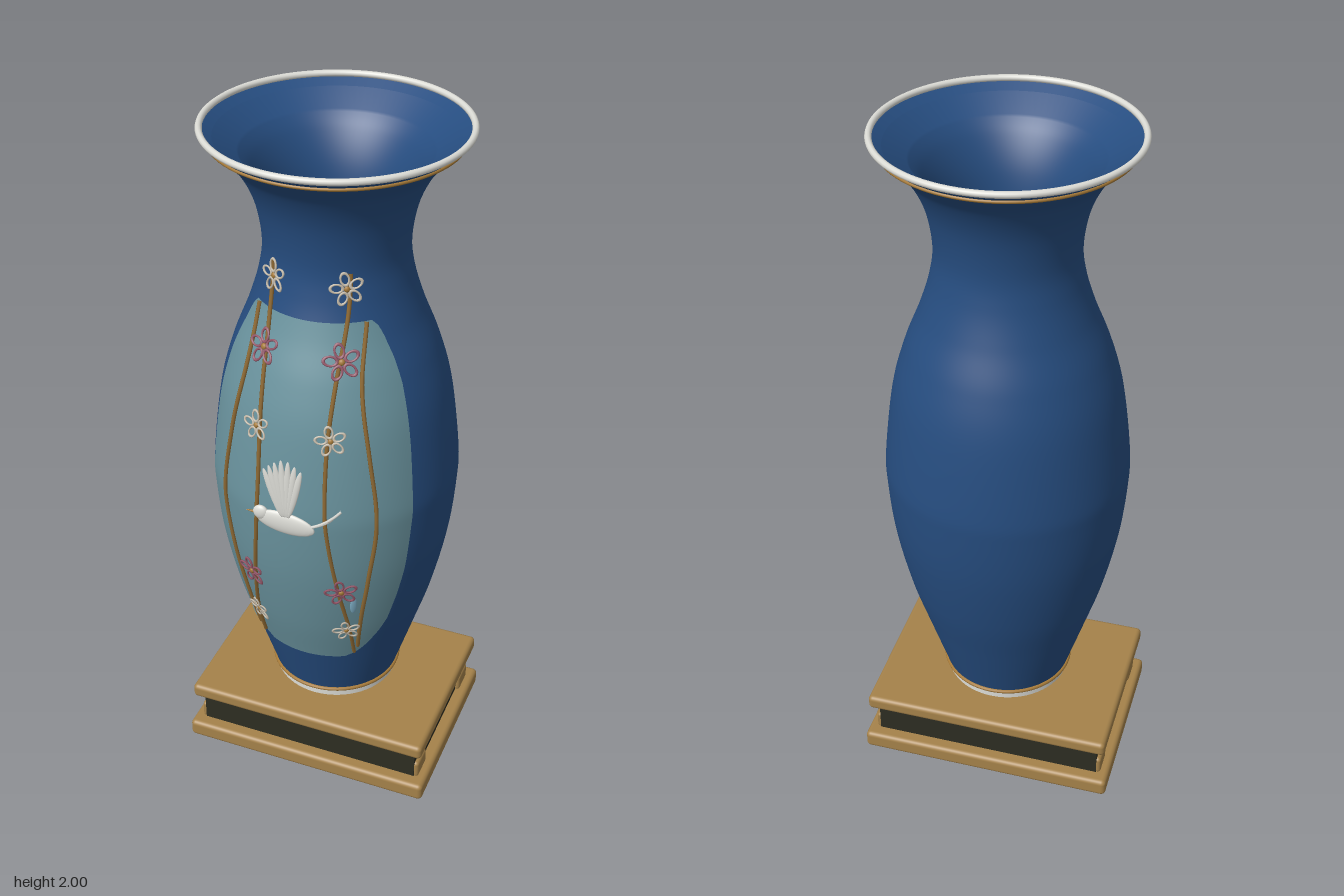
import * as THREE from 'three';
import { RoundedBoxGeometry } from 'three/addons/geometries/RoundedBoxGeometry.js';

const mat = (name, color, side = THREE.FrontSide) => {
  const m = new THREE.MeshStandardMaterial({ color, side });
  m.name = name;
  return m;
};

// Outer wall of the vase: radius, height
const PROFILE = new THREE.SplineCurve([
  [0.187, 0.258], [0.243, 0.44], [0.29, 0.6], [0.328, 0.785], [0.344, 0.95], [0.343, 1.05],
  [0.317, 1.25], [0.28, 1.385], [0.235, 1.5], [0.205, 1.6], [0.195, 1.69], [0.213, 1.8],
  [0.255, 1.89], [0.31, 1.95], [0.343, 1.985],
].map(([r, y]) => new THREE.Vector2(r, y))).getPoints(140);

// Linear lookup in a list of points ordered by y
function lookup(points, y) {
  let i = 1;
  while (i < points.length - 1 && points[i].y < y) i++;
  const a = points[i - 1], b = points[i];
  const t = THREE.MathUtils.clamp((y - a.y) / (b.y - a.y), 0, 1);
  return a.x + (b.x - a.x) * t;
}
const radiusAt = (y) => lookup(PROFILE, y);

// Point on the front of the vase, lifted off the wall
function onVase(x, y, lift = 0) {
  const r = radiusAt(y) + lift;
  return new THREE.Vector3(x, y, Math.sqrt(Math.max(0, r * r - x * x)));
}
function normalAt(x, y) {
  const p = onVase(x, y);
  const slope = (radiusAt(y + 0.02) - radiusAt(y - 0.02)) / 0.04;
  return new THREE.Vector3(p.x, -slope * radiusAt(y), p.z).normalize();
}

export function createModel() {
  const blue = mat('cobaltGlaze', 0x264d80);
  const teal = mat('panelTeal', 0x6a939e);
  const white = mat('porcelainWhite', 0xdcdcd6);
  const gold = mat('gilding', 0xa67a38);
  const wood = mat('standWood', 0xa5824a);
  const dark = mat('standDark', 0x2d2d22);
  const bark = mat('branchBrown', 0x8f6a34);
  const rose = mat('blossomRose', 0x96586a);
  const cream = mat('blossomCream', 0xc9bfae);
  const leafBlue = mat('leafBlue', 0x7fb0c8);

  const model = new THREE.Group();
  model.name = 'vaseOnStand';
  const add = (parent, name, geo, material, x = 0, y = 0, z = 0) => {
    const m = new THREE.Mesh(geo, material);
    m.name = name;
    m.position.set(x, y, z);
    parent.add(m);
    return m;
  };

  // Stand: two slabs, a recessed core and four corner blocks
  const stand = new THREE.Group();
  stand.name = 'stand';
  add(stand, 'lowerSlab', new RoundedBoxGeometry(0.766, 0.056, 0.564, 3, 0.014), wood, 0, 0.028, 0);
  add(stand, 'core', new THREE.BoxGeometry(0.69, 0.12, 0.485), dark, 0, 0.108, 0);
  add(stand, 'upperSlab', new RoundedBoxGeometry(0.745, 0.046, 0.54, 3, 0.014), wood, 0, 0.179, 0);
  for (const sx of [-1, 1]) for (const sz of [-1, 1]) {
    add(stand, 'cornerBlock', new RoundedBoxGeometry(0.06, 0.056, 0.078, 2, 0.01), wood, sx * 0.328, 0.08, sz * 0.202);
  }

  // Vase body: outer wall, lip, then inner wall back down
  const vase = new THREE.Group();
  vase.name = 'vase';
  const inner = PROFILE.filter((p) => p.y < 1.93).reverse()
    .map((p) => new THREE.Vector2(p.x - 0.037, p.y));
  const outerWall = add(vase, 'outerWall', new THREE.LatheGeometry(PROFILE, 96), blue);
  outerWall.material = blue;
  const lip = [new THREE.Vector2(0.343, 1.985), new THREE.Vector2(0.312, 1.968)];
  add(vase, 'lip', new THREE.LatheGeometry(lip, 96), blue);
  add(vase, 'innerWall', new THREE.LatheGeometry([lip[1], ...inner], 96), blue);
  add(vase, 'foot', new THREE.CylinderGeometry(0.185, 0.185, 0.034, 64), white, 0, 0.247, 0);

  // Rings at rim and foot
  const ring = (name, r, tube, y, material) =>
    add(vase, name, new THREE.TorusGeometry(r, tube, 10, 96).rotateX(Math.PI / 2), material, 0, y, 0);
  ring('rimRing', 0.343, 0.009, 1.991, white);
  ring('rimGilding', radiusAt(1.965) + 0.002, 0.005, 1.965, gold);
  ring('footGilding', 0.19, 0.006, 0.26, gold);

  // Painted panel wrapped on the front; half-angle in degrees by height
  const panelEdge = [
    [27, 0.445], [35, 0.465], [41, 0.5], [47, 0.55], [51, 0.6], [54, 0.7], [56, 0.8], [57.5, 1],
    [58, 1.2], [58, 1.38], [56, 1.45], [52, 1.51], [49, 1.535], [45, 1.55],
  ].map(([a, y]) => new THREE.Vector2(THREE.MathUtils.degToRad(a), y));
  const panelGeo = new THREE.PlaneGeometry(2, 1, 40, 70);
  const pos = panelGeo.attributes.position;
  for (let i = 0; i < pos.count; i++) {
    const y = 0.445 + (pos.getY(i) + 0.5) * 1.105;
    const a = pos.getX(i) * lookup(panelEdge, y);
    const r = radiusAt(y) + 0.003;
    pos.setXYZ(i, Math.sin(a) * r, y, Math.cos(a) * r);
  }
  panelGeo.computeVertexNormals();
  add(vase, 'frontPanel', panelGeo, teal);

  // Branches climbing both sides of the panel
  const branches = {
    innerBranch: [[0.105, 1.68], [0.106, 1.55], [0.1, 1.4], [0.095, 1.2], [0.1, 1.0], [0.122, 0.78], [0.14, 0.6], [0.14, 0.47]],
    outerBranch: [[0.148, 1.55], [0.16, 1.4], [0.197, 1.2], [0.222, 1.0], [0.2, 0.8], [0.175, 0.65], [0.152, 0.5]],
  };
  for (const side of [-1, 1]) for (const [name, pts] of Object.entries(branches)) {
    const flat = new THREE.SplineCurve(pts.map(([x, y]) => new THREE.Vector2(x, y)));
    const path = new THREE.CatmullRomCurve3(flat.getPoints(40).map((p) => onVase(side * p.x, p.y, 0.006)));
    add(vase, name, new THREE.TubeGeometry(path, 80, 0.006, 6), bark);
  }

  // Blossoms: five outlined petals round a gilded centre
  const petalGeo = new THREE.TorusGeometry(0.011, 0.0028, 6, 14).scale(1, 1.5, 1).translate(0, 0.027, 0);
  const centreGeo = new THREE.SphereGeometry(0.008, 10, 8).scale(1, 1, 0.6);
  const blossom = (x, y, material, size) => {
    const flower = new THREE.Group();
    flower.name = 'blossom';
    flower.position.copy(onVase(x, y, 0.012));
    flower.lookAt(flower.position.clone().add(normalAt(x, y)));
    flower.scale.setScalar(size);
    for (let k = 0; k < 5; k++) add(flower, 'petal', petalGeo, material).rotation.z = k * Math.PI * 0.4 + 0.2;
    add(flower, 'blossomCentre', centreGeo, gold);
    vase.add(flower);
  };
  for (const s of [-1, 1]) {
    blossom(s * 0.1, 1.64, cream, 1);
    blossom(s * 0.108, 1.46, rose, 1.1);
    blossom(s * 0.105, 1.26, cream, 0.95);
    blossom(s * 0.135, 0.76, rose, 1.05);
    blossom(s * 0.135, 0.59, cream, 0.9);
    // Small leaves near the lower branches
    const [lx, ly] = s > 0 ? [0.16, 0.7] : [-0.165, 0.54];
    const leaf = add(vase, 'leaf', new THREE.SphereGeometry(1, 12, 8).scale(0.01, 0.035, 0.004), leafBlue);
    leaf.position.copy(onVase(lx, ly, 0.008));
    leaf.lookAt(leaf.position.clone().add(normalAt(lx, ly)));
  }

  // Bird in low relief on the panel
  const bird = new THREE.Group();
  bird.name = 'bird';
  bird.position.set(0, 1.0, 0.355);
  const ball = new THREE.SphereGeometry(1, 24, 16);
  const body = add(bird, 'birdBody', ball, white, -0.008, -0.003, 0);
  body.scale.set(0.085, 0.034, 0.012);
  body.rotation.z = -0.08;
  add(bird, 'birdHead', ball, white, -0.079, 0.015, 0).scale.set(0.022, 0.022, 0.011);
  add(bird, 'birdBeak', new THREE.ConeGeometry(0.005, 0.03, 8).rotateZ(Math.PI / 2), gold, -0.11, 0.012, 0);
  for (let k = 0; k < 7; k++) {
    const angle = 0.33 - k * 0.095;
    const len = 0.19 - Math.abs(k - 3.5) * 0.01;
    const geo = new THREE.SphereGeometry(1, 10, 10).scale(0.011, len / 2, 0.005).translate(0, len / 2, 0);
    const feather = add(bird, 'wingFeather', geo, white, -0.014 + k * 0.003, 0.022, 0.008);
    feather.rotation.z = angle;
  }
  for (const [tx, ty] of [[0.15, 0.072], [0.128, 0.045]]) {
    const path = new THREE.QuadraticBezierCurve3(new THREE.Vector3(0.06, 0, 0),
      new THREE.Vector3(0.11, 0.02, -0.004), new THREE.Vector3(tx, ty, -0.01));
    add(bird, 'tailFeather', new THREE.TubeGeometry(path, 12, 0.004, 6), white);
  }
  vase.add(bird);

  model.add(stand, vase);
  stand.position.z = vase.position.z = -0.01;
  return model;
}
